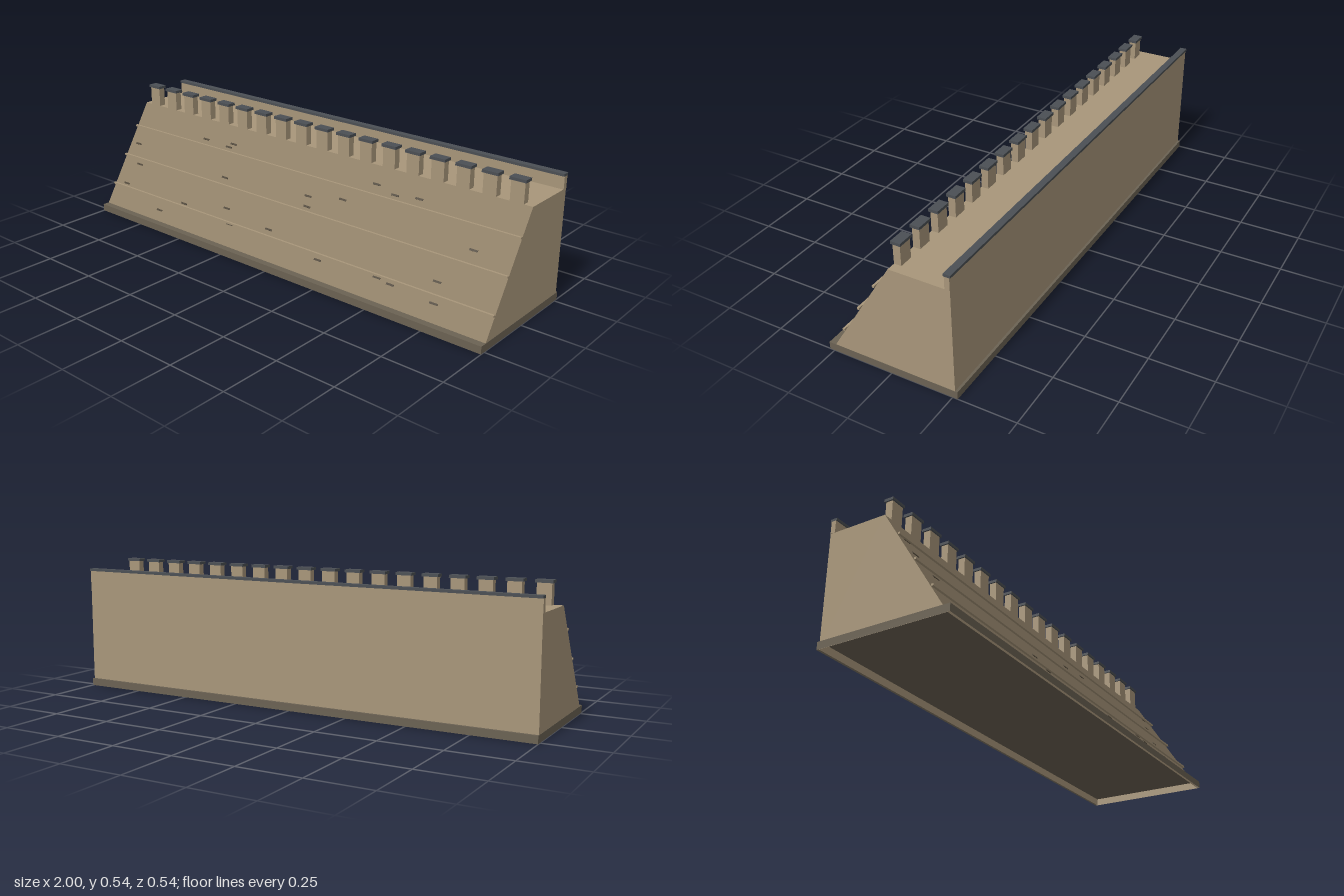
import * as THREE from 'three';

const FOOT_Z = 0.26, CREST_Z = -0.02, BACK_Z = -0.26, WALL_H = 0.45;

const mat = (color) => new THREE.MeshStandardMaterial({ color, side: THREE.DoubleSide });

// z of the sloping front face at height y
const slopeZ = (y) => FOOT_Z + (CREST_Z - FOOT_Z) * (y / WALL_H);

// Box given by its limits in y and z, and by centre and width in x
function block(name, material, x, width, y0, y1, z0, z1) {
  const mesh = new THREE.Mesh(new THREE.BoxGeometry(width, y1 - y0, z1 - z0), material);
  mesh.position.set(x, (y0 + y1) / 2, (z0 + z1) / 2);
  mesh.name = name;
  return mesh;
}

// Leave out the underside of a box (fourth face, six indices)
function openBottom(mesh) {
  const index = Array.from(mesh.geometry.index.array);
  index.splice(18, 6);
  mesh.geometry.setIndex(index);
  mesh.geometry.clearGroups();
  return mesh;
}

export function createModel() {
  const model = new THREE.Group();
  model.name = 'rampartWall';
  const stone = mat(0xa8967a);
  const plinthStone = mat(0x6b6253);
  const capSlate = mat(0x4b4f54);
  const dark = mat(0x4f4638);

  // Wall body: a box whose front top edge is pushed back to form the slope
  const body = openBottom(block('wallBody', stone, 0, 1.998, 0, WALL_H, BACK_Z, FOOT_Z));
  const p = body.geometry.attributes.position;
  for (let i = 0; i < p.count; i++) {
    if (p.getY(i) > 0 && p.getZ(i) > 0) p.setZ(i, CREST_Z - body.position.z);
  }
  model.add(body);

  // Plinth around the foot
  model.add(openBottom(block('plinth', plinthStone, 0, 2, 0, 0.03, -0.27, 0.27)));

  // Horizontal courses along the slope
  for (const y of [0.115, 0.235, 0.355]) {
    const z = slopeZ(y) + 0.008;
    model.add(block('stoneCourse', stone, 0, 2, y - 0.004, y + 0.004, z - 0.0045, z + 0.0045));
  }

  // Low parapet along the back with its coping
  model.add(block('backParapet', stone, 0, 2, WALL_H, 0.50, BACK_Z, -0.24));
  model.add(block('backCoping', capSlate, 0, 2, 0.50, 0.51, -0.264, -0.236));

  // Merlons with caps along the front crest
  const count = 18, spacing = 0.11;
  for (let i = 0; i < count; i++) {
    const x = (i - (count - 1) / 2) * spacing;
    const merlon = new THREE.Group();
    merlon.name = 'merlon';
    merlon.add(block('merlonBlock', stone, x, 0.056, WALL_H, 0.53, -0.049, CREST_Z));
    merlon.add(block('merlonCap', capSlate, x, 0.067, 0.53, 0.541, -0.054, -0.015));
    model.add(merlon);
  }

  // Weathered chips scattered over the slope, as x, y pairs
  const chips = [
    [-0.56, 0.375], [-0.40, 0.385], [-0.42, 0.37], [-0.95, 0.285], [-0.895, 0.21],
    [-0.93, 0.125], [-0.55, 0.123], [-0.675, 0.07], [-0.38, 0.26], [-0.31, 0.157],
    [-0.265, 0.107], [-0.06, 0.135], [0.07, 0.285], [0.083, 0.25], [0.235, 0.308],
    [0.22, 0.093], [0.36, 0.388], [0.455, 0.37], [0.56, 0.38], [0.84, 0.277],
    [0.745, 0.153], [0.50, 0.104], [0.565, 0.097], [0.76, 0.087], [0.91, 0.352], [-0.95, 0.352],
  ];
  const chipGeometry = new THREE.BoxGeometry(0.034, 0.008, 0.004);
  const tilt = -Math.atan2(FOOT_Z - CREST_Z, WALL_H);
  for (const [x, y] of chips) {
    const chip = new THREE.Mesh(chipGeometry, dark);
    chip.name = 'stoneChip';
    chip.position.set(x, y, slopeZ(y));
    chip.rotation.x = tilt;
    model.add(chip);
  }

  return model;
}
